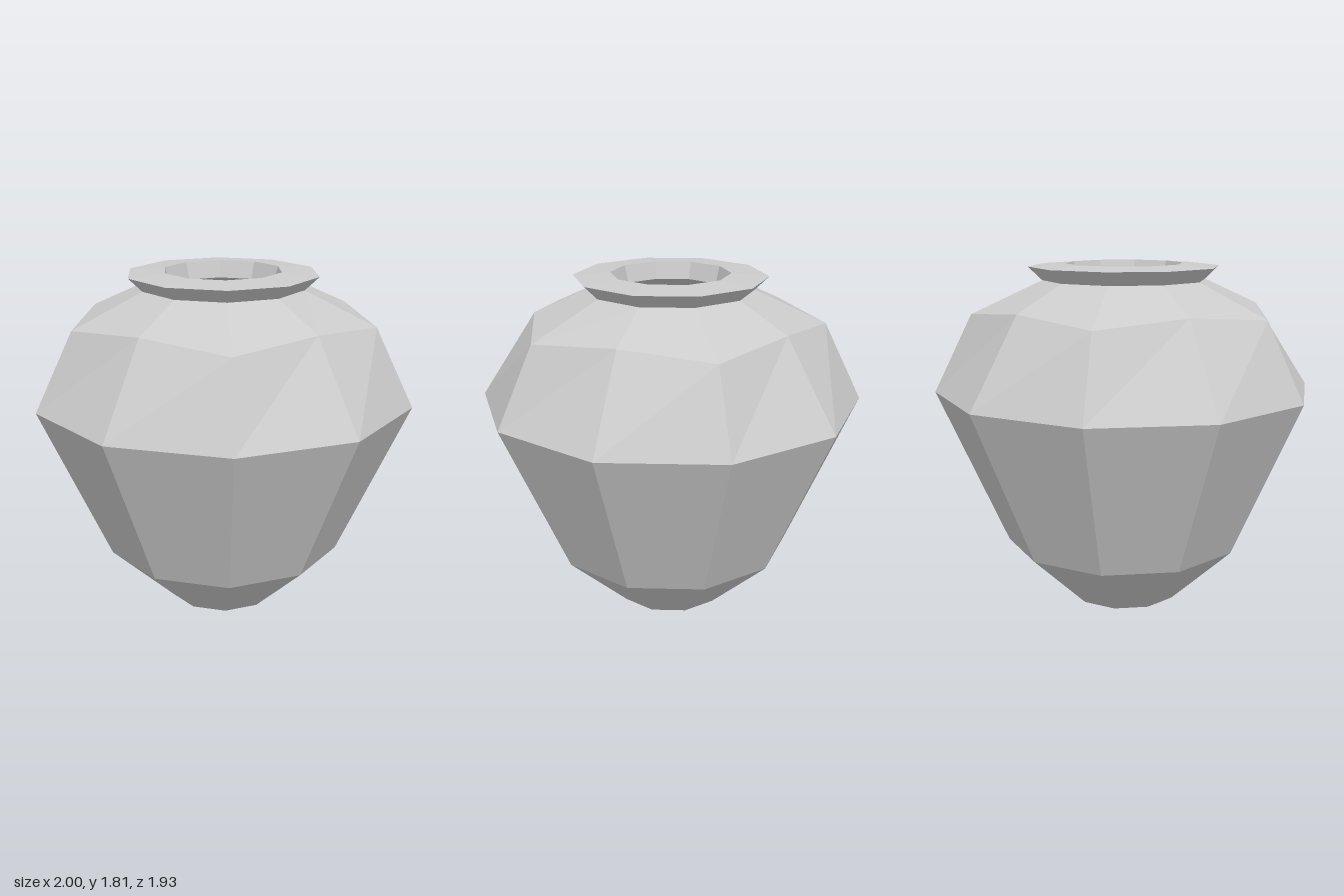
import * as THREE from 'three';
import { toCreasedNormals } from 'three/addons/utils/BufferGeometryUtils.js';

const SIDES = 10;
const TURN = THREE.MathUtils.degToRad(3);

// Skin of quads through ten-sided rings; a ring is [r, y] or [r, y, oddR, oddY].
function ringSurface(rings) {
  const pos = [], index = [];
  for (const [r, y, oddR = r, oddY = y] of rings) {
    for (let i = 0; i < SIDES; i++) {
      const a = TURN + (i / SIDES) * Math.PI * 2;
      const rad = i % 2 ? oddR : r;
      pos.push(rad * Math.cos(a), i % 2 ? oddY : y, rad * Math.sin(a));
    }
  }
  for (let j = 0; j < rings.length - 1; j++) {
    for (let i = 0; i < SIDES; i++) {
      const n = (i + 1) % SIDES;
      const a = j * SIDES + i, b = j * SIDES + n;
      const c = a + SIDES, d = b + SIDES;
      index.push(a, c, b, b, c, d);
    }
  }
  const geo = new THREE.BufferGeometry();
  geo.setAttribute('position', new THREE.Float32BufferAttribute(pos, 3));
  geo.setIndex(index);
  geo.computeVertexNormals();
  return geo;
}

// Flat ten-sided disc facing up or down
function disc(r, y, up) {
  const geo = new THREE.CircleGeometry(r, SIDES, up ? -TURN : TURN);
  geo.rotateX(up ? -Math.PI / 2 : Math.PI / 2);
  geo.translate(0, y, 0);
  return geo;
}

export function createModel() {
  const group = new THREE.Group();
  const flat = new THREE.MeshStandardMaterial({ color: 0xcccccc, flatShading: true });
  const smooth = new THREE.MeshStandardMaterial({ color: 0xcccccc });
  const add = (name, geo, mat = flat) => {
    const mesh = new THREE.Mesh(geo, mat);
    mesh.name = name;
    group.add(mesh);
  };

  // Outer wall, with a shoulder ring that alternates in radius and height
  add('body', ringSurface([
    [0.295, 0], [0.635, 0.32], [1, 1.15],
    [0.8, 1.555, 0.71, 1.595], [0.43, 1.725],
  ]));
  add('base', disc(0.295, 0, false));

  // Flared rim, its gently raised top and the throat
  add('rim', ringSurface([
    [0.43, 1.725], [0.503, 1.795], [0.31, 1.81], [0.285, 1.72],
  ]));

  // Hollow inside
  const inside = ringSurface([
    [0.285, 1.72], [0.68, 1.53], [0.93, 1.14], [0.58, 0.35], [0.27, 0.05],
  ]);
  add('innerWall', toCreasedNormals(inside, Math.PI / 3), smooth);
  add('innerFloor', disc(0.27, 0.05, true));

  return group;
}
